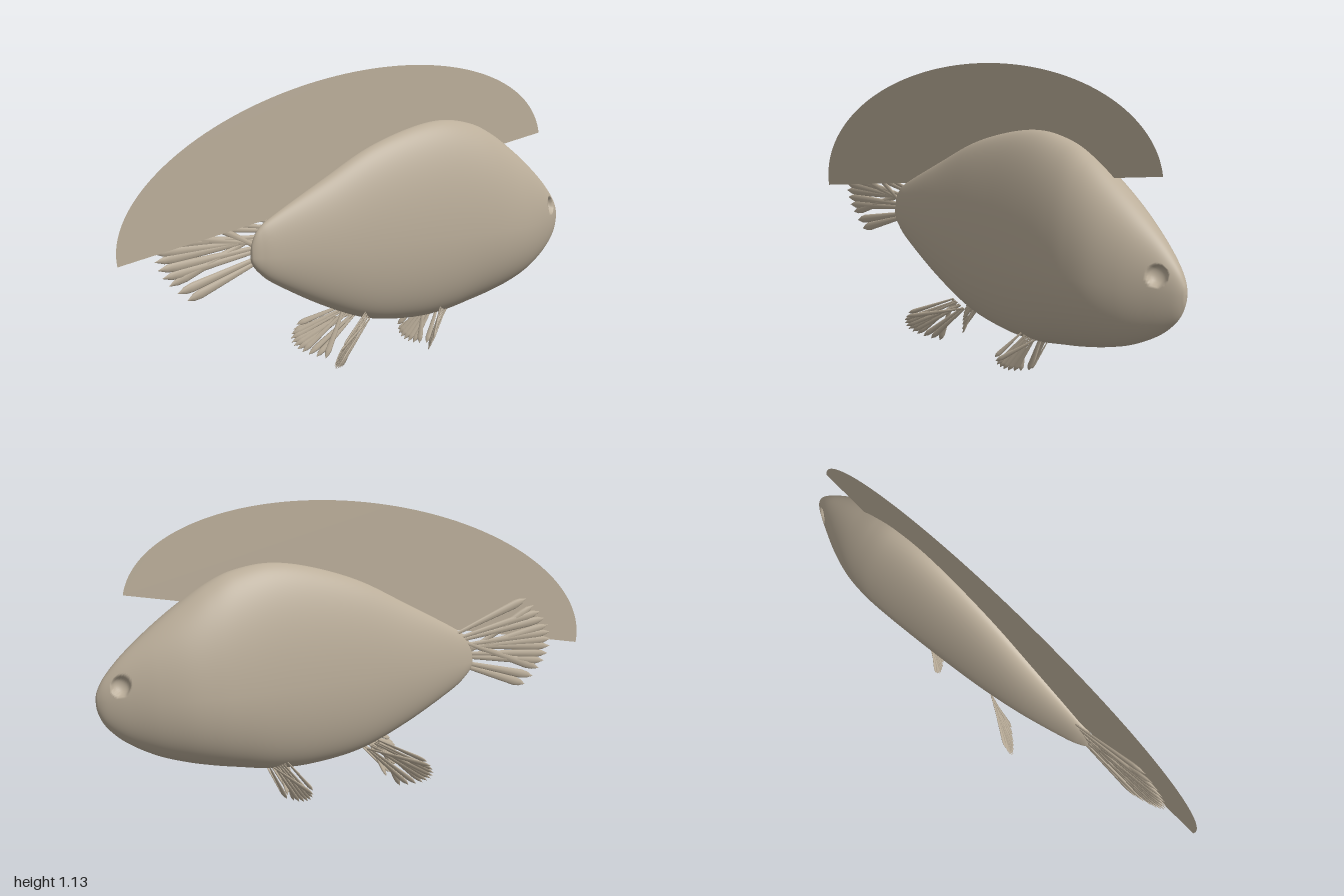
import * as THREE from 'three';

const V = (x, y, z) => new THREE.Vector3(x, y, z);
const skin = new THREE.MeshStandardMaterial({ color: 0xbbae9a, side: THREE.DoubleSide });

// Body stations: x, top, bottom, half width
const MID = 0.47;
const STATIONS = [
  [-0.5, MID, MID, 0], [-0.493, 0.525, 0.445, 0.012], [-0.465, 0.575, 0.41, 0.025],
  [-0.4, 0.62, 0.36, 0.043], [-0.2, 0.727, 0.25, 0.08], [0, 0.83, 0.168, 0.105],
  [0.2, 0.895, 0.137, 0.125], [0.36, 0.918, 0.14, 0.14], [0.5, 0.898, 0.165, 0.152],
  [0.6, 0.855, 0.186, 0.155], [0.7, 0.79, 0.213, 0.145], [0.8, 0.715, 0.25, 0.115],
  [0.9, 0.628, 0.308, 0.07], [0.965, 0.555, 0.37, 0.036], [0.993, 0.505, 0.425, 0.014], [1, MID, MID, 0],
];

// Presses a round eye socket into the side of the head
function dentEye(p) {
  const s = Math.sign(p.z), R = 0.034;
  const d = p.distanceTo(V(0.921, 0.527, s * 0.052));
  if (s !== 0 && d < R) p.addScaledVector(V(-0.5, -0.1, -s * 0.85), 0.85 * Math.sqrt(R * R - d * d));
  return p;
}

function makeBody() {
  const heights = new THREE.CatmullRomCurve3(STATIONS.map(s => V(s[0], s[1], s[2])), false, 'catmullrom', 0.5);
  const widths = new THREE.CatmullRomCurve3(STATIONS.map(s => V(s[0], s[3], 0)), false, 'catmullrom', 0.5);
  const rings = 240, sides = 120, pos = [], index = [];
  for (let i = 0; i <= rings; i++) {
    const h = heights.getPoint(i / rings), w = widths.getPoint(i / rings).y;
    for (let j = 0; j < sides; j++) {
      const a = (j / sides) * Math.PI * 2, c = Math.cos(a);
      const p = V(h.x, MID + c * (c > 0 ? h.y - MID : MID - h.z), Math.sin(a) * w);
      pos.push(...dentEye(p).toArray());
      if (i < rings) {
        const k = i * sides + j, n = i * sides + (j + 1) % sides;
        index.push(k, n, k + sides, n, n + sides, k + sides);
      }
    }
  }
  const g = new THREE.BufferGeometry();
  g.setAttribute('position', new THREE.Float32BufferAttribute(pos, 3));
  g.setIndex(index);
  g.computeVertexNormals();
  return g;
}

// Fan of flattened, pointed rays from a base line to a curved row of tips
function makeFin(name, baseA, baseB, tipA, tipMid, tipB, count, width) {
  const fin = new THREE.Group();
  fin.name = name;
  const tips = new THREE.QuadraticBezierCurve3(tipA, tipMid, tipB);
  const ray = new THREE.LatheGeometry(
    [[0, 0], [0.35, 0.01], [1, 0.84], [0.75, 0.92], [0, 1]].map(p => new THREE.Vector2(...p)), 8);
  for (let i = 0; i < count; i++) {
    const t = i / (count - 1);
    // every third ray starts on the far side, so the roots cross
    const base = baseA.clone().lerp(baseB, i % 3 === 1 ? 1 - t : t);
    const dir = tips.getPoint(t).sub(base), len = dir.length();
    dir.normalize();
    const side = tips.getTangent(t);
    side.addScaledVector(dir, -side.dot(dir)).normalize();
    const normal = side.clone().cross(dir);
    const m = new THREE.Mesh(ray, skin);
    m.name = 'finRay';
    m.quaternion.setFromRotationMatrix(new THREE.Matrix4().makeBasis(side, dir, normal));
    m.position.copy(base);
    m.scale.set(width, len, width * 0.4);
    fin.add(m);
  }
  return fin;
}

export function createModel() {
  const fish = new THREE.Group();
  fish.name = 'fish';

  const body = new THREE.Mesh(makeBody(), skin);
  body.name = 'body';
  fish.add(body);

  // Dorsal fin: a thin tilted half ellipse
  const half = new THREE.Shape();
  half.absellipse(0, 0, 0.957, 0.444, 0, Math.PI, false, 0);
  const dorsal = new THREE.Mesh(new THREE.ShapeGeometry(half, 64), skin);
  dorsal.name = 'dorsalFin';
  dorsal.position.set(-0.055, 0.67, 0);
  dorsal.rotation.z = 0.173;
  fish.add(dorsal);

  // Tail fin
  fish.add(makeFin('tailFin', V(-0.41, 0.59, -0.014), V(-0.42, 0.47, -0.008),
    V(-0.74, 0.71, -0.008), V(-0.99, 0.535, -0.006), V(-0.75, 0.35, -0.004), 13, 0.018));

  // Paired lower fins, mirrored across the body
  for (const s of [1, -1]) {
    const side = s > 0 ? 'right' : 'left';
    fish.add(makeFin(side + 'RearFin', V(-0.05, 0.215, s * 0.07), V(-0.01, 0.175, s * 0.045),
      V(-0.215, 0.135, s * 0.168), V(-0.3, 0.04, s * 0.18), V(-0.15, 0.012, s * 0.06), 11, 0.012));
    fish.add(makeFin(side + 'FrontFin', V(0.32, 0.175, s * 0.06), V(0.38, 0.155, s * 0.03),
      V(0.24, 0.07, s * 0.12), V(0.22, -0.01, s * 0.1), V(0.305, 0.008, s * 0.008), 9, 0.011));
  }
  return fish;
}
